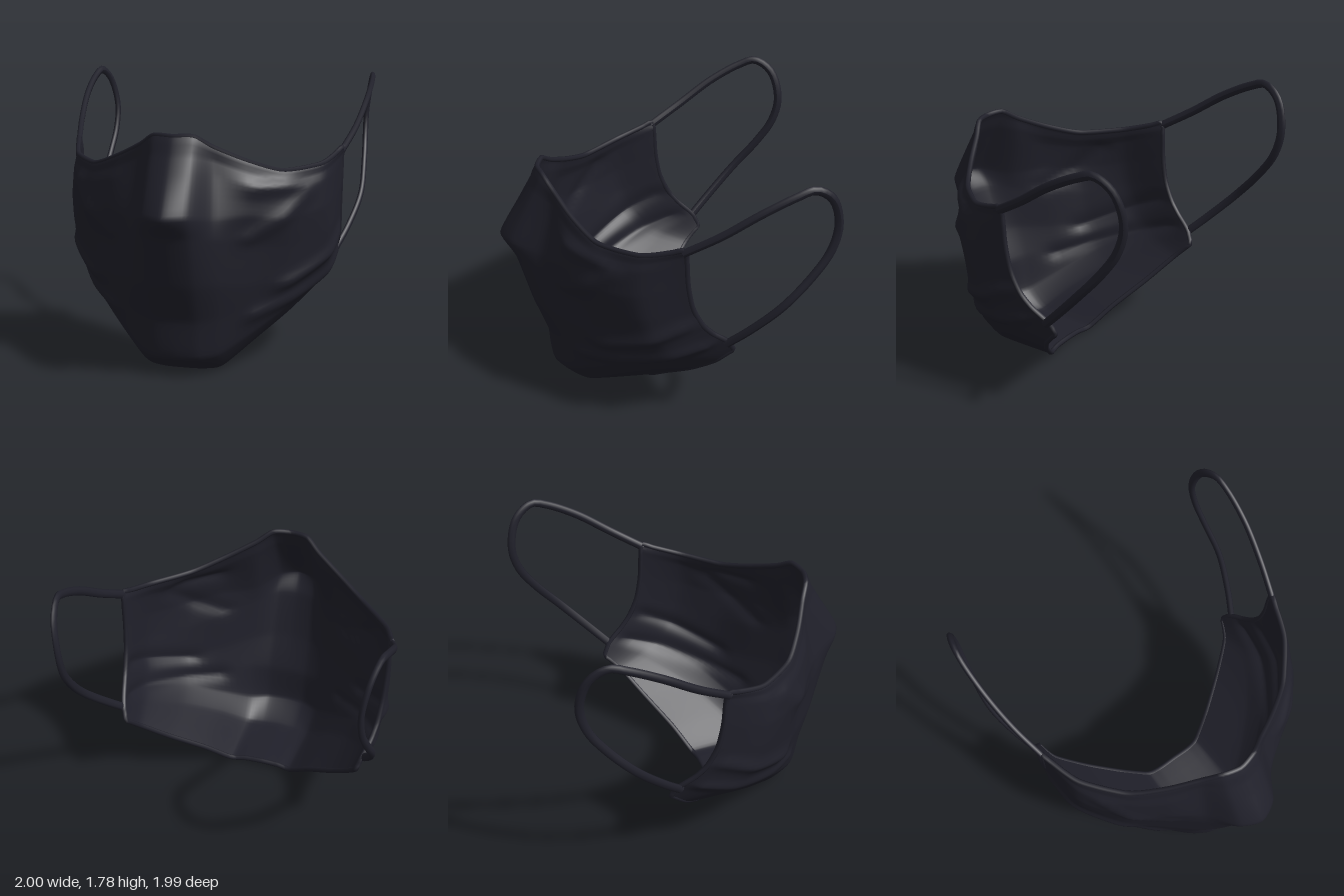
import * as THREE from 'three';

const fabric = new THREE.MeshStandardMaterial({ color: 0x20202a });
fabric.name = 'darkFabric';
const V = (x, y, z) => new THREE.Vector3(x, y, z);

// Cross-sections from the centre line to the ear edge: x at top, middle and bottom,
// then y, z pairs from the top edge down to the underside of the chin
const sections = [
  { x: [0, 0, 0], yz: [1.515, .74, 1.3, .86, 1.06, .995, .92, .91, .62, .82, .38, .725, .14, .695, .02, .5, .03, .08] },
  { x: [.12, .14, .12], yz: [1.515, .71, 1.3, .82, 1.06, .93, .92, .88, .62, .8, .38, .715, .14, .68, .02, .49, .025, .08] },
  { x: [.22, .27, .22], yz: [1.45, .65, 1.28, .68, 1.03, .75, .9, .755, .62, .72, .4, .66, .16, .61, .04, .46, .025, .06] },
  { x: [.4, .455, .38], yz: [1.36, .55, 1.22, .6, 1.03, .62, .85, .58, .6, .55, .43, .51, .27, .46, .18, .33, .15, -.03] },
  { x: [.6, .66, .58], yz: [1.285, .41, 1.17, .45, 1, .46, .82, .41, .62, .37, .52, .32, .42, .26, .35, .13, .31, -.17] },
  { x: [.8, .84, .74], yz: [1.3, .17, 1.2, .2, 1.04, .2, .88, .165, .72, .11, .64, .05, .57, -.02, .52, -.14, .47, -.3] },
  { x: [.89, .865, .79], yz: [1.37, -.08, 1.28, -.09, 1.12, -.1, .95, -.135, .82, -.2, .75, -.26, .7, -.32, .65, -.37, .58, -.4] },
];

// Section curve: x follows a parabola through its three values; m mirrors it
function sectionCurve({ x: [top, middle, bottom], yz }, m) {
  const points = [], last = yz.length / 2 - 1;
  for (let r = 0; r <= last; r++) {
    const t = r / last;
    const x = top * (1 - t) * (1 - 2 * t) + middle * 4 * t * (1 - t) + bottom * t * (2 * t - 1);
    points.push(V(m * x, yz[2 * r], yz[2 * r + 1]));
  }
  return new THREE.CatmullRomCurve3(points, false, 'catmullrom', .25);
}

// Fabric folds as lines in the z-y plane: z1, y1, z2, y2, height, side (0 = both)
const folds = [
  [-.1, .83, .4, .58, .022, 0],
  [-.22, .66, .5, .4, .022, 0],
  [.33, 1.15, .6, .9, .018, 0],
  [.57, 1.19, .4, 1.2, .022, 1],
];

function foldHeight(p) {
  if (Math.abs(p.x) < .2) return 0;
  const q = V(0, p.y, p.z);
  let h = 0;
  for (const [z1, y1, z2, y2, height, side] of folds) {
    if (side * p.x < 0) continue;
    const line = new THREE.Line3(V(0, y1, z1), V(0, y2, z2));
    const d = line.closestPointToPoint(q, true, V(0, 0, 0)).distanceTo(q);
    h += height * Math.exp(-((d / .045) ** 2));
  }
  return h;
}

const COLS = 72, ROWS = 56, THICK = .02;

// Grid surface facing outwards, or inwards when flipped
function gridGeometry(points, flip = false) {
  const g = new THREE.BufferGeometry().setFromPoints(points);
  const index = [];
  for (let i = 0; i < COLS; i++) for (let j = 0; j < ROWS; j++) {
    const a = i * (ROWS + 1) + j, b = a + ROWS + 1;
    if (flip) index.push(a, b, a + 1, b, b + 1, a + 1);
    else index.push(a, a + 1, b, b, a + 1, b + 1);
  }
  g.setIndex(index);
  g.computeVertexNormals();
  return g;
}

// Move points along the surface normals
const offset = (points, geometry, amount) => points.map((p, k) =>
  p.clone().addScaledVector(V(0, 0, 0).fromBufferAttribute(geometry.attributes.normal, k), amount(p, k)));

// Flat ribbon: a tube squeezed sideways about its path
function ribbonGeometry(path, segments, radius, sides, squeeze) {
  const g = new THREE.TubeGeometry(path, segments, radius, sides);
  const pos = g.attributes.position;
  for (let k = 0; k < pos.count; k++) {
    const centre = path.getPointAt(Math.floor(k / (sides + 1)) / segments).x;
    pos.setX(k, centre + (pos.getX(k) - centre) * squeeze);
  }
  g.computeVertexNormals();
  return g;
}

function add(group, name, geometry) {
  const mesh = new THREE.Mesh(geometry, fabric);
  mesh.name = name;
  group.add(mesh);
}

export function createModel() {
  const group = new THREE.Group();
  group.name = 'faceMask';

  // Mirror the sections and loft smoothly through them
  const columns = [
    ...sections.slice(1).reverse().map(s => sectionCurve(s, -1)),
    ...sections.map(s => sectionCurve(s, 1)),
  ];
  const rows = [];
  for (let j = 0; j <= ROWS; j++)
    rows.push(new THREE.CatmullRomCurve3(columns.map(c => c.getPoint(j / ROWS)), false, 'catmullrom', .35));
  const base = [];
  for (let i = 0; i <= COLS; i++) for (let j = 0; j <= ROWS; j++) base.push(rows[j].getPoint(i / COLS));

  // Outer cloth with folds and a raised top hem, and the inner lining
  const hem = k => (k % (ROWS + 1) < 3 ? .008 : 0);
  const outer = offset(base, gridGeometry(base), (p, k) => foldHeight(p) + hem(k));
  const outerGeometry = gridGeometry(outer);
  add(group, 'outerCloth', outerGeometry);
  add(group, 'innerLining', gridGeometry(offset(outer, outerGeometry, () => -THICK), true));

  // Binding around the whole border, closing the gap between the layers
  const middle = offset(outer, outerGeometry, () => -THICK / 2);
  const at = (i, j) => middle[i * (ROWS + 1) + j];
  const border = [];
  for (let i = 0; i < COLS; i += 2) border.push(at(i, 0));
  for (let j = 0; j < ROWS; j += 4) border.push(at(COLS, j));
  for (let i = COLS; i > 0; i -= 2) border.push(at(i, ROWS));
  for (let j = ROWS; j > 0; j -= 4) border.push(at(0, j));
  add(group, 'edgeBinding', new THREE.TubeGeometry(new THREE.CatmullRomCurve3(border, true), 240, .017, 6, true));

  // Ear loops, from the upper corner round the ear to the lower corner
  const loop = [
    [.885, 1.35, -.07], [.94, 1.48, -.28], [.975, 1.63, -.5], [.982, 1.735, -.7], [.972, 1.765, -.8], [.945, 1.69, -.91],
    [.915, 1.5, -.965], [.915, 1.33, -.93], [.925, 1.17, -.83], [.93, .97, -.66], [.875, .78, -.48], [.815, .65, -.35],
  ];
  for (const [m, name] of [[1, 'leftEarLoop'], [-1, 'rightEarLoop']]) {
    const path = new THREE.CatmullRomCurve3(loop.map(([x, y, z]) => V(m * x, y, z)));
    add(group, name, ribbonGeometry(path, 60, .028, 8, .65));
  }

  return group;
}
